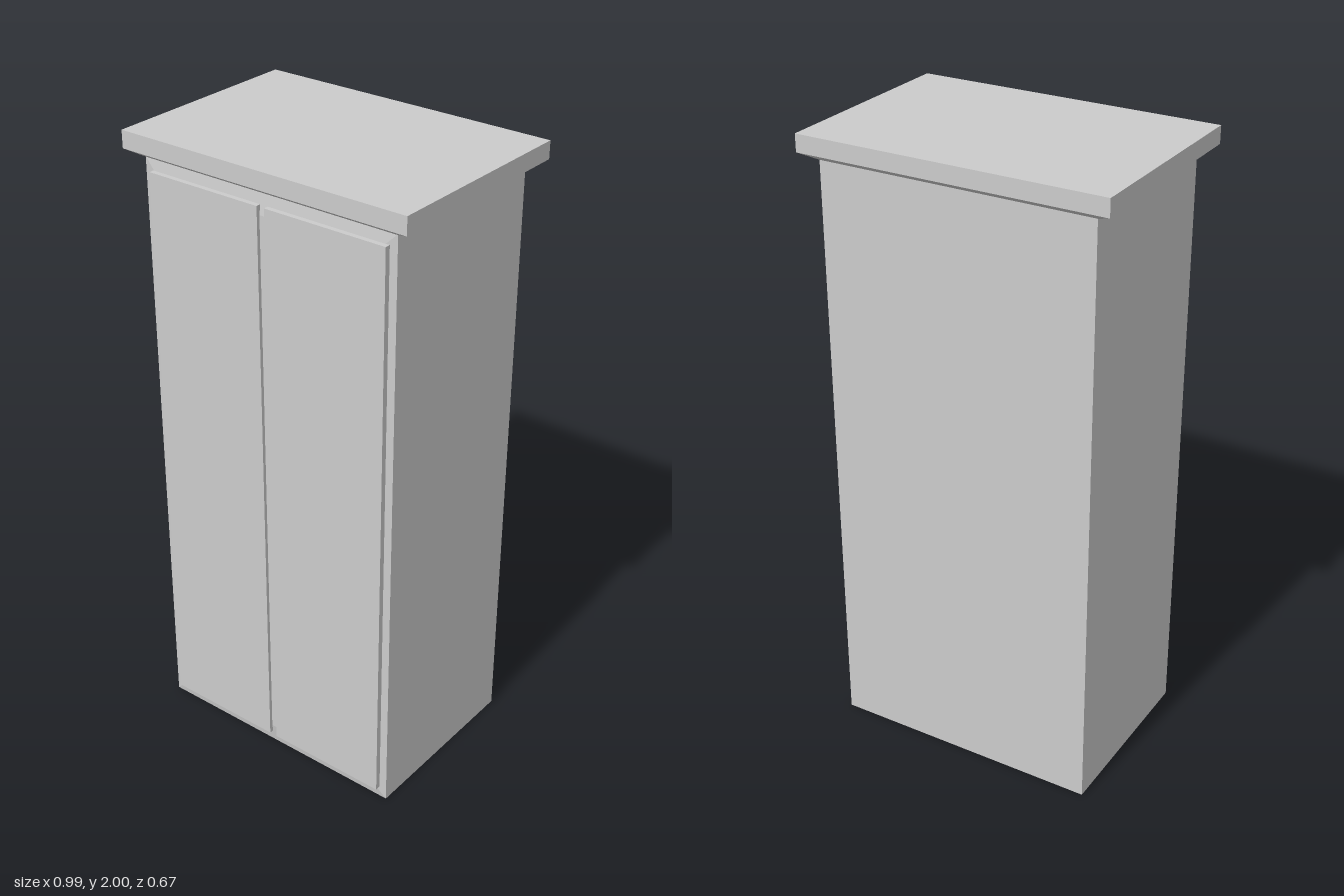
import * as THREE from 'three';

const material = new THREE.MeshStandardMaterial({ color: 0xcccccc, flatShading: true });

function addBox(group, name, [x0, x1], [y0, y1], [z0, z1]) {
  const mesh = new THREE.Mesh(new THREE.BoxGeometry(x1 - x0, y1 - y0, z1 - z0), material);
  mesh.position.set((x0 + x1) / 2, (y0 + y1) / 2, (z0 + z1) / 2);
  mesh.name = name;
  group.add(mesh);
  return mesh;
}

// Scale the corners on one side of a box so that side tapers
function taper(mesh, selects, sx, sy, sz) {
  const p = mesh.geometry.attributes.position;
  for (let i = 0; i < p.count; i++) {
    const x = p.getX(i), y = p.getY(i), z = p.getZ(i);
    if (selects(x, y, z)) p.setXYZ(i, x * sx, y * sy, z * sz);
  }
  mesh.geometry.computeVertexNormals();
}

export function createModel() {
  const group = new THREE.Group();
  group.name = 'wardrobe';

  // Plain carcass
  addBox(group, 'carcass', [-0.442, 0.442], [0, 1.925], [-0.3, 0.3]);

  // Shallow front frame sloping inward to a flat middle
  const frame = addBox(group, 'frontFrame', [-0.442, 0.442], [0, 1.925], [0.3, 0.31]);
  taper(frame, (x, y, z) => z > 0, 0.377 / 0.442, 0.8975 / 0.9625, 1);

  // Pair of flat doors with a narrow gap between them
  addBox(group, 'rightDoor', [-0.41, -0.014], [0.04, 1.89], [0.301, 0.321]);
  addBox(group, 'leftDoor', [0.012, 0.419], [0.04, 1.89], [0.301, 0.321]);

  // Cornice: flared moulding below a flat top slab
  const moulding = addBox(group, 'corniceMoulding', [-0.495, 0.495], [1.922, 1.945], [-0.336, 0.336]);
  taper(moulding, (x, y) => y < 0, 0.442 / 0.495, 1, 0.3 / 0.336);
  addBox(group, 'topSlab', [-0.495, 0.495], [1.945, 2], [-0.336, 0.336]);

  return group;
}
